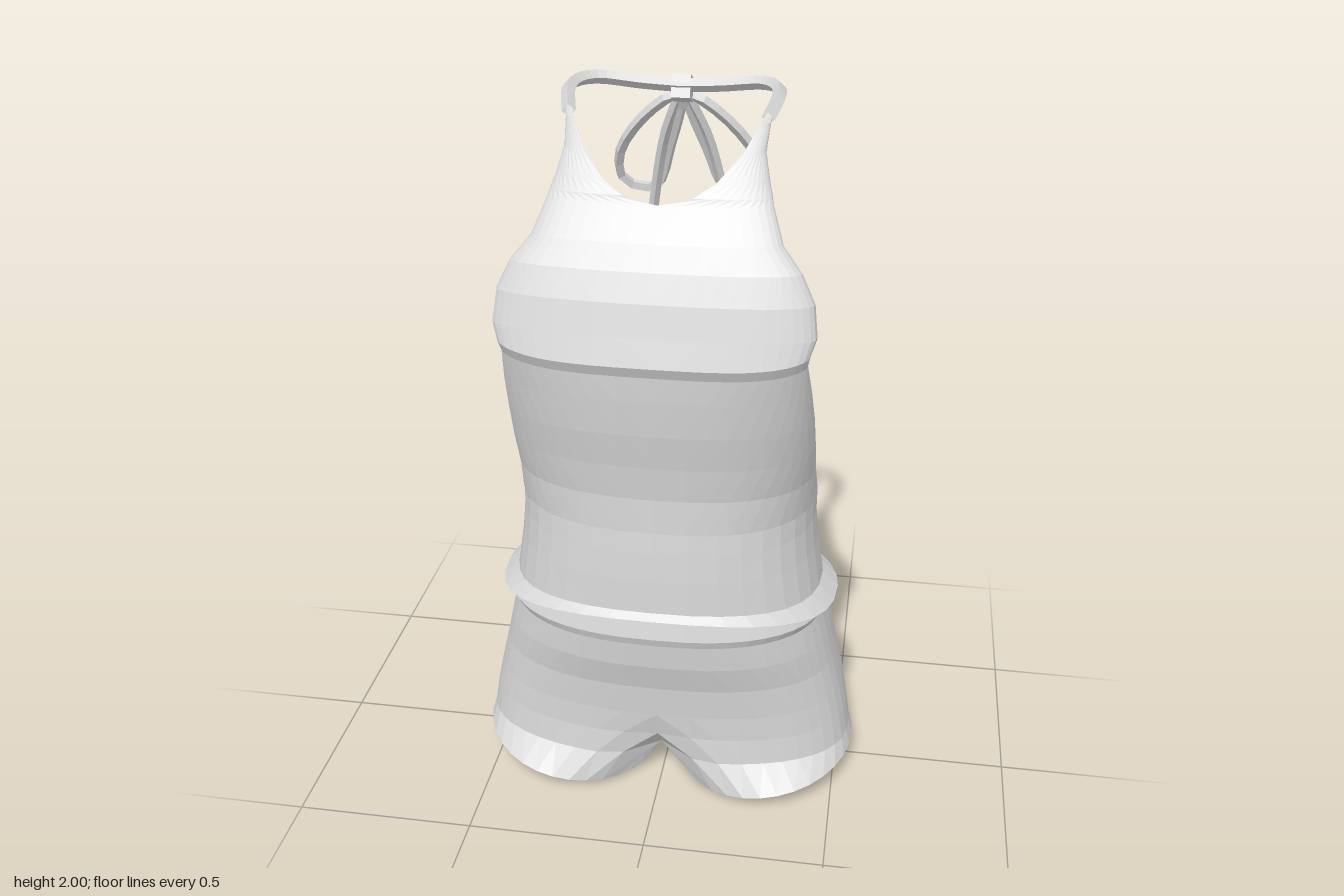
import * as THREE from 'three';

const fabric = new THREE.MeshStandardMaterial({ color: 0xd9d9d9, flatShading: true, side: THREE.DoubleSide });
fabric.name = 'light grey fabric';

const { degToRad, lerp } = THREE.MathUtils;
const spow = (v, p) => Math.sign(v) * Math.abs(v) ** p;

// Surface through a rows x cols lattice of points given by fn(i, j)
function lattice(name, rows, cols, fn, flip = false) {
  const pos = [], idx = [];
  for (let i = 0; i < rows; i++) for (let j = 0; j < cols; j++) pos.push(...fn(i, j));
  for (let i = 0; i < rows - 1; i++) for (let j = 0; j < cols - 1; j++) {
    const a = i * cols + j, b = a + 1, c = a + cols, d = c + 1;
    if (flip) idx.push(a, d, b, a, c, d);
    else idx.push(a, b, d, a, d, c);
  }
  const g = new THREE.BufferGeometry();
  g.setAttribute('position', new THREE.Float32BufferAttribute(pos, 3));
  g.setIndex(idx);
  g.computeVertexNormals();
  const m = new THREE.Mesh(g, fabric);
  m.name = name;
  return m;
}

// Rounded body section: half width w, front f, widest depth c, back b, angle a from the front,
// back squareness pb (lower is boxier)
function section(w, f, c, b, a, pb = 0.95) {
  const p = Math.cos(a) > 0 ? 0.82 : pb, k = spow(Math.cos(a), p);
  return [w * Math.abs(Math.sin(a)) ** p, c + k * (k > 0 ? f - c : c - b)];
}

// Four-sided fabric cord through points
function cord(name, pts, radius, closed = false) {
  const curve = new THREE.CatmullRomCurve3(pts.map(p => new THREE.Vector3(...p)), closed);
  const m = new THREE.Mesh(new THREE.TubeGeometry(curve, pts.length * 3, radius, 4, closed), fabric);
  m.name = name;
  return m;
}

// Height of the waist band's upper edge at an angle: level in front, scooped behind
function rimHeight(deg) {
  const pts = [[0, 0.9], [90, 0.9], [110, 0.843], [130, 0.817], [150, 0.81], [170, 0.83], [180, 0.86]];
  const k = Math.max(1, pts.findIndex(p => deg <= p[0]));
  const [a, b] = [pts[k - 1], pts[k]];
  return lerp(a[1], b[1], (deg - a[0]) / (b[0] - a[0]));
}

// Waist band with a flared hem; rows: y, width, front, back, drop at the sides, share of the rim height
function waistBand(s) {
  const rows = [
    [0.645, 0.435, 0.322, -0.28, 0.04, 0], [0.64, 0.482, 0.345, -0.295, 0.05, 0],
    [0.66, 0.437, 0.332, -0.288, 0.025, 0], [0.66, 0.418, 0.33, -0.265, 0, 0.4],
    [0.66, 0.41, 0.325, -0.24, 0, 0.75], [0.66, 0.41, 0.32, -0.225, 0, 1],
  ];
  const n = 19;
  return lattice(s > 0 ? 'leftWaistBand' : 'rightWaistBand', rows.length, n, (i, j) => {
    const [y, w, f, b, drop, share] = rows[i], deg = 180 * j / (n - 1), a = degToRad(deg);
    const [x, z] = section(w, f, 0, b, a);
    return [s * x, lerp(y, rimHeight(deg), share) - drop * Math.sin(a) ** 2, z];
  }, s < 0);
}

// Halter front; rows: y, width, front, edge depth, start angle at the neckline, rise towards the side
function halterFront(s) {
  const rows = [
    [0.9, 0.41, 0.32, 0, 0, 0], [1.0, 0.405, 0.32, 0.06, 0, 0], [1.1, 0.405, 0.335, 0.125, 0, 0],
    [1.2, 0.402, 0.355, 0.18, 0, 0], [1.3, 0.395, 0.368, 0.24, 0, 0], [1.37, 0.385, 0.374, 0.295, 0, 0.025],
    [1.4, 0.39, 0.388, 0.31, 0, 0.025], [1.47, 0.405, 0.367, 0.295, 0, 0], [1.55, 0.395, 0.345, 0.275, 0, 0],
    [1.62, 0.36, 0.315, 0.26, 0, 0], [1.68, 0.31, 0.28, 0.235, 0, 0], [1.76, 0.28, 0.225, 0.185, 0, 0],
    [1.778, 0.275, 0.216, 0.17, 14, 0], [1.81, 0.265, 0.195, 0.145, 27, 0], [1.87, 0.25, 0.15, 0.105, 48, 0],
    [1.93, 0.255, 0.1, 0.06, 62, 0], [1.985, 0.275, 0, -0.04, 75, 0],
  ];
  const n = 12;
  return lattice(s > 0 ? 'leftHalterFront' : 'rightHalterFront', rows.length, n, (i, j) => {
    const [y, w, f, c, a0, rise] = rows[i], a = degToRad(lerp(a0, 90, j / (n - 1)));
    const [x, z] = section(w, f, c, c, a);
    return [s * x, y + rise * Math.sin(a) ** 4, z];
  }, s < 0);
}

// Shorts; rows: y, width, front, back, inward pinch at front and at back centre
function shorts() {
  const rows = [
    [0.665, 0.42, 0.318, -0.27, 0, 0], [0.575, 0.458, 0.335, -0.3, 0, 0],
    [0.55, 0.445, 0.326, -0.31, 0, 0.01], [0.47, 0.464, 0.315, -0.338, 0, 0.015],
    [0.38, 0.484, 0.288, -0.353, 0, 0.015], [0.28, 0.508, 0.275, -0.36, 0, 0.02],
    [0.2, 0.525, 0.27, -0.35, 0.015, 0.04], [0.12, 0.538, 0.275, -0.325, 0.09, 0.07],
  ];
  const n = 25, spread = 0.7, out = new THREE.Group();
  out.name = 'shorts';
  const hem = b => {
    const x = 0.29 + 0.26 * Math.sin(b), k = Math.cos(b);
    return [x, 0.08 * (x - 0.03) / 0.52 + 0.04 * Math.max(0, -k), 0.005 + (k > 0 ? 0.3 : 0.287) * k];
  };
  const upperPoint = (i, t) => {
    const [y, w, f, b, pf, pb] = rows[i];
    const [x, z] = section(w, f, 0, b, Math.PI * t, i > 2 && i < 6 ? 0.76 : 0.88);
    const near = Math.exp(-((x / 0.08) ** 2));
    return [x, y, z - near * (z > 0 ? pf : -pb)];
  };
  const last = rows.length - 1;
  for (const s of [1, -1]) {
    const side = s > 0 ? 'left' : 'right';
    out.add(lattice(side + 'ShortsLeg', rows.length + 1, n, (i, j) => {
      const t = j / (n - 1);
      const p = i <= last ? upperPoint(i, t) : hem(-spread + (Math.PI + 2 * spread) * t);
      return [s * p[0], p[1], p[2]];
    }, s > 0));
    // Inner leg panel, arched from the crotch seam to the hem
    const front = upperPoint(last, 0), back = upperPoint(last, 1);
    out.add(lattice(side + 'InnerLeg', 4, 11, (i, j) => {
      const t = j / 10, k = i / 3, h = hem(-spread - (Math.PI - 2 * spread) * t);
      const y = front[1] - 0.015 * Math.sin(Math.PI * t);
      return [s * h[0] * k ** 0.45, lerp(y, h[1], k), lerp(lerp(front[2], back[2], t), h[2], k)];
    }, s < 0));
  }
  return out;
}

// Neck strap with a tied bow behind
function neckTie() {
  const out = new THREE.Group();
  out.name = 'neckTie';
  for (const s of [1, -1]) {
    const side = s > 0 ? 'left' : 'right';
    const m = pts => pts.map(([x, y, z]) => [s * x, y, z]);
    out.add(cord(side + 'Strap', m([[0.248, 1.94, 0.06], [0.265, 1.975, -0.02], [0.258, 1.983, -0.08],
      [0.215, 1.98, -0.14], [0.1, 1.965, -0.165], [0, 1.96, -0.165]]), 0.018));
    out.add(cord(side + 'BowLoop', m([[0.01, 1.93, -0.2], [0.1, 1.87, -0.23], [0.19, 1.74, -0.29],
      [0.185, 1.65, -0.335], [0.1, 1.635, -0.345], [0.05, 1.76, -0.29]]), 0.015, true));
    out.add(cord(side + 'BowTail', m([[0.01, 1.93, -0.2], [0.06, 1.8, -0.26], [0.1, 1.6, -0.325],
      [0.12, 1.45, -0.355], [0.13, 1.31, -0.385]]), 0.014));
  }
  const knot = new THREE.Mesh(new THREE.BoxGeometry(0.05, 0.06, 0.08), fabric);
  knot.name = 'knot';
  knot.position.set(0, 1.945, -0.19);
  knot.rotation.x = -0.4;
  out.add(knot);
  return out;
}

export function createModel() {
  const model = new THREE.Group();
  model.name = 'halterRomper';
  for (const s of [1, -1]) model.add(waistBand(s), halterFront(s));
  model.add(shorts(), neckTie());
  return model;
}
